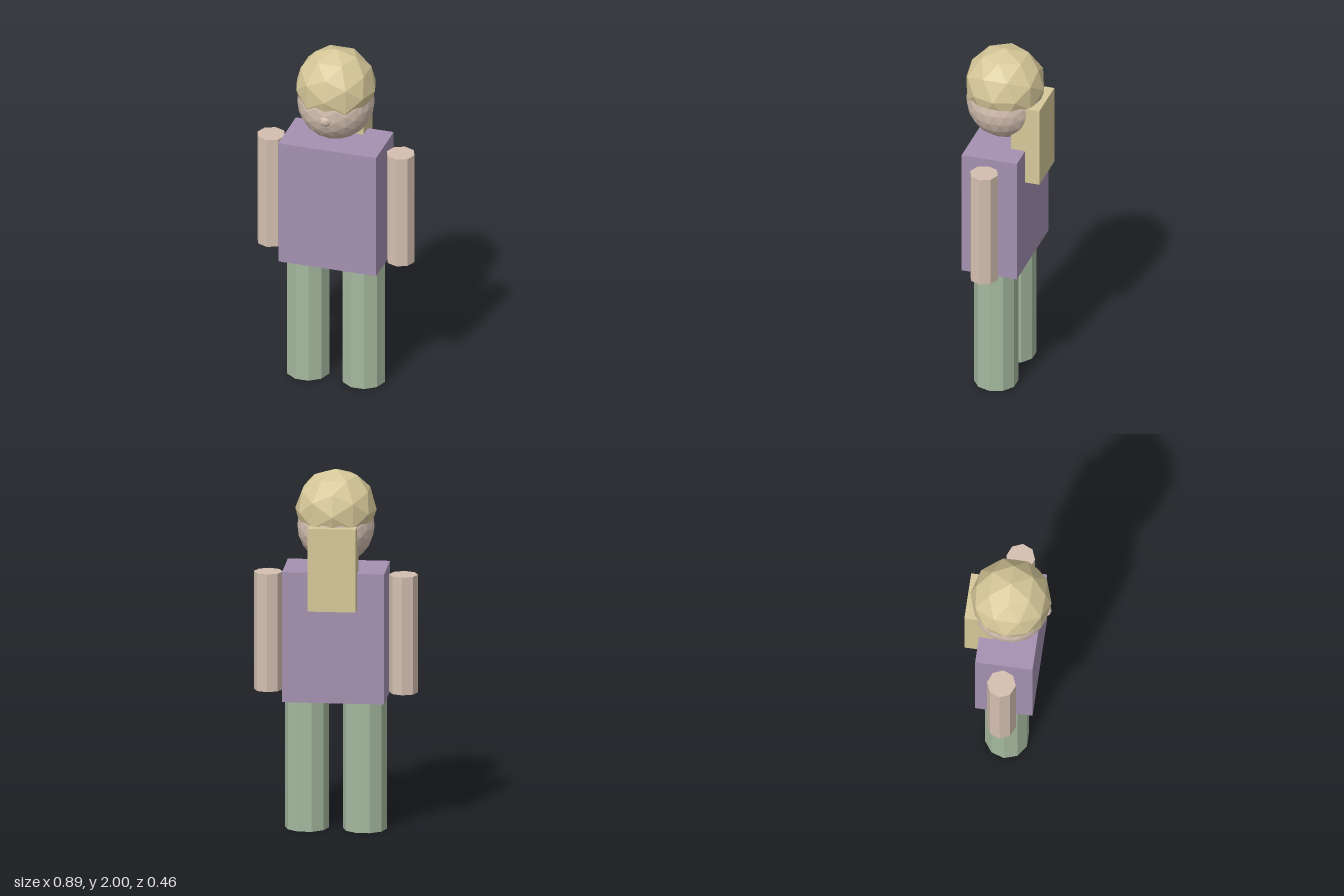
import * as THREE from 'three';

const material = (name, color) => {
  const m = new THREE.MeshStandardMaterial({ color, flatShading: true });
  m.name = name;
  return m;
};

export function createModel() {
  const skin = material('skin', 0xd3bfb0);
  const hair = material('blondHair', 0xd6c899);
  const shirt = material('purpleShirt', 0xa491b1);
  const trousers = material('greenTrousers', 0xa5b99f);

  const group = new THREE.Group();
  group.name = 'figure';
  const add = (name, geometry, mat, x, y, z = 0.005) => {
    const mesh = new THREE.Mesh(geometry, mat);
    mesh.name = name;
    mesh.position.set(x, y, z);
    group.add(mesh);
    return mesh;
  };

  // Torso
  add('torso', new THREE.BoxGeometry(0.556, 0.725, 0.314), shirt, 0, 1.0925);

  // Eight-sided arms and ten-sided legs, mirrored
  const armGeometry = new THREE.CylinderGeometry(0.0785, 0.0785, 0.656, 8);
  const legGeometry = new THREE.CylinderGeometry(0.12, 0.12, 0.732, 10).rotateY(Math.PI / 2);
  for (const [side, s] of [['left', 1], ['right', -1]]) {
    add(side + 'Arm', armGeometry, skin, s * 0.368, 1.092);
    add(side + 'Leg', legGeometry, trousers, s * 0.158, 0.366);
  }

  // Head with a small round nose
  add('head', new THREE.IcosahedronGeometry(0.21, 3), skin, 0, 1.685);
  add('nose', new THREE.IcosahedronGeometry(0.037, 1), skin, 0, 1.658, 0.19);

  // Coarse hair cap and the long hair falling down the back
  add('hairCap', new THREE.IcosahedronGeometry(0.222, 1), hair, 0, 1.778);
  add('backHair', new THREE.BoxGeometry(0.262, 0.462, 0.16), hair, 0, 1.489, -0.152);

  return group;
}
